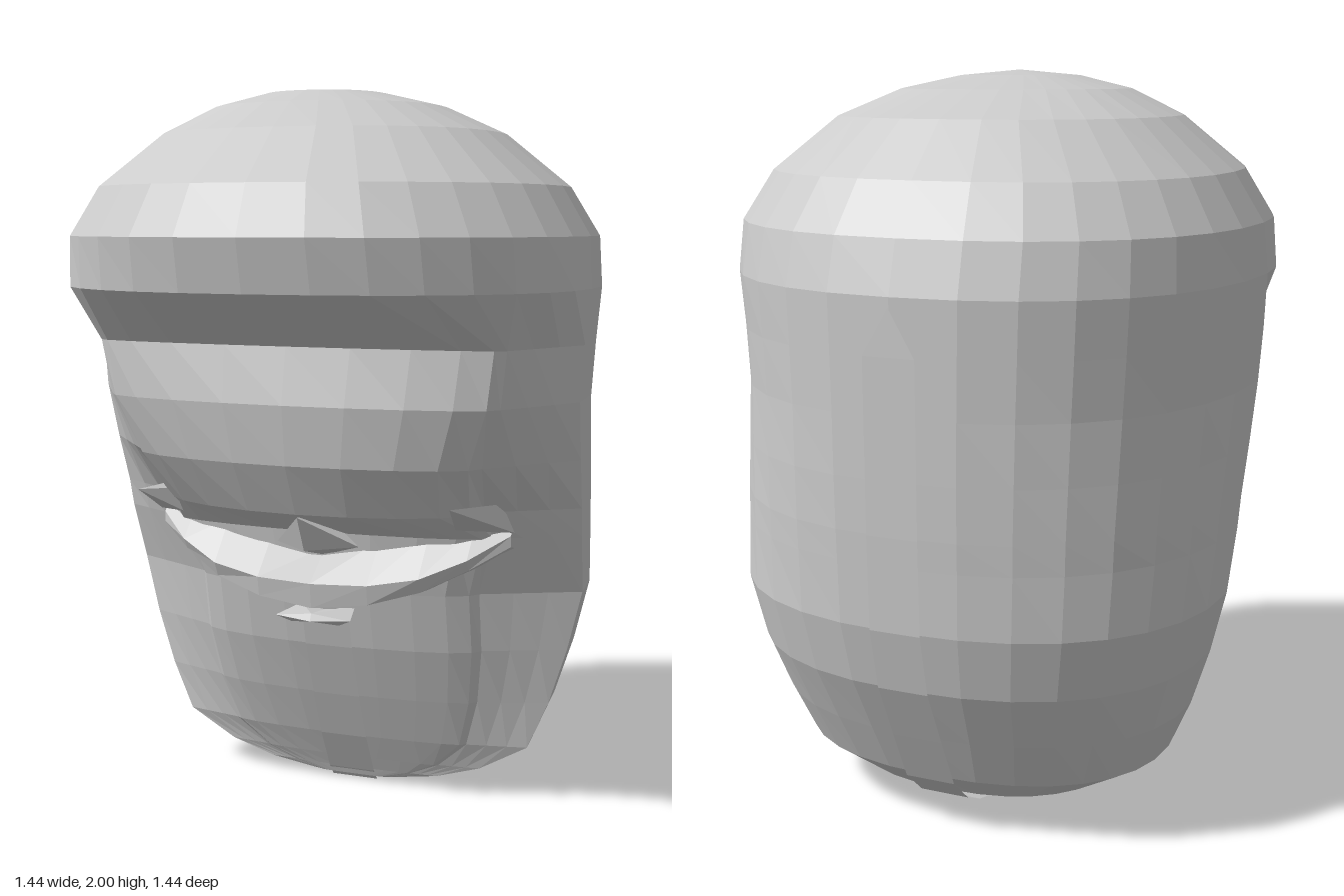
import * as THREE from 'three';
import { ConvexGeometry } from 'three/addons/geometries/ConvexGeometry.js';

const STEPS = 8; // facets per quarter of a ring

function material(doubleSided) {
  return new THREE.MeshStandardMaterial({
    color: 0xcccccc,
    flatShading: true,
    side: doubleSided ? THREE.DoubleSide : THREE.FrontSide,
  });
}

// Joins rows of [x, y, z] points into a faceted surface.
function loft(name, rows, doubleSided = false) {
  const n = rows[0].length;
  const index = [];
  for (let j = 0; j < rows.length - 1; j++) {
    for (let i = 0; i < n - 1; i++) {
      const a = j * n + i, b = a + 1, d = a + n, c = d + 1;
      index.push(a, d, c, a, c, b);
    }
  }
  const indexed = new THREE.BufferGeometry();
  indexed.setAttribute('position', new THREE.Float32BufferAttribute(rows.flat(2), 3));
  indexed.setIndex(index);
  const geometry = indexed.toNonIndexed();
  geometry.computeVertexNormals();
  const mesh = new THREE.Mesh(geometry, material(doubleSided));
  mesh.name = name;
  return mesh;
}

function solid(name, points) {
  const geometry = new ConvexGeometry(points.map((p) => new THREE.Vector3(...p)));
  const mesh = new THREE.Mesh(geometry, material(false));
  mesh.name = name;
  return mesh;
}

// Quarter of a squarish oval: width w, depth d from the line z = z0.
function oval(w, d, z0, i) {
  const a = (i / STEPS) * Math.PI / 2;
  const power = 0.87;
  const x = i === STEPS ? 0 : w * Math.cos(a) ** power;
  return [x, z0 + d * Math.sin(a) ** power];
}

// One closed horizontal ring, from the left side round the front and back.
// With a rim the front runs from side edge to rim, then curves to the centre.
function ring({ y, w, side, back, front, rim }) {
  const quarterFront = [];
  const quarterBack = [];
  for (let i = 0; i <= STEPS; i++) {
    quarterBack.push(oval(w, back - side, side, i));
    if (!rim) {
      quarterFront.push(oval(w, front - side, side, i));
    } else if (i <= 3) {
      const t = i / 3;
      quarterFront.push([w + (rim[0] - w) * t, side + (rim[1] - side) * t]);
    } else {
      const a = ((i - 3) / (STEPS - 3)) * Math.PI / 2;
      quarterFront.push([i === STEPS ? 0 : rim[0] * Math.cos(a), rim[1] + (front - rim[1]) * Math.sin(a)]);
    }
  }
  const mirror = (list) => list.map(([x, z]) => [-x, z]);
  const loop = [
    ...quarterFront,
    ...mirror(quarterFront).reverse().slice(1),
    ...mirror(quarterBack).slice(1),
    ...quarterBack.reverse().slice(1),
  ];
  return loop.map(([x, z]) => [x, y, z]);
}

// Ring sizes, from the bottom up: [y, w, side, back, front, rim x, rim z]
const LEVELS = [
  [0.01, 0.001, -0.17, -0.171, -0.169],
  [0.015, 0.12, -0.09, -0.25, -0.08, 0.09, -0.082],
  [0.04, 0.26, -0.08, -0.34, -0.07, 0.18, -0.075],
  [0.08, 0.39, -0.08, -0.42, -0.05, 0.27, -0.065],
  [0.16, 0.53, -0.08, -0.51, -0.01, 0.36, -0.045],
  [0.3, 0.59, -0.08, -0.58, 0.05, 0.4, -0.015],
  [0.46, 0.64, -0.08, -0.66, 0.11, 0.42, 0.02],
  [0.63, 0.68, -0.08, -0.7, 0.15, 0.42, 0.05],
  [0.8, 0.688, -0.02, -0.705, 0.18, 0.47, 0.1],
  [0.88, 0.69, 0.0, -0.708, 0.36, 0.46, 0.15],
  [1.02, 0.695, 0.05, -0.71, 0.43, 0.49, 0.29],
  [1.18, 0.7, 0.1, -0.71, 0.45, 0.55, 0.34],
  [1.33, 0.71, 0.1, -0.71, 0.42, 0.57, 0.36],
  [1.475, 0.72, 0.08, -0.71, 0.69],
  [1.61, 0.71, 0.06, -0.67, 0.72],
  [1.74, 0.63, 0.05, -0.58, 0.66],
  [1.88, 0.46, 0.06, -0.42, 0.49],
  [1.95, 0.31, 0.08, -0.22, 0.38],
  [1.985, 0.16, 0.1, -0.05, 0.28],
  [2.0, 0.001, 0.1, 0.099, 0.101],
];

function buildHood() {
  return loft('hoodAndFace', LEVELS.map(([y, w, side, back, front, rx, rz]) =>
    ring({ y, w, side, back, front, rim: rx === undefined ? null : [rx, rz] })));
}

// Crescent strap under the face: shelf, front band and underside.
function buildChinStrap() {
  const half = [
    // x, inner y, inner z, front y, front z, lower y, lower z
    [0.52, 0.83, 0.08, 0.81, 0.1, 0.78, 0.1],
    [0.42, 0.83, 0.1, 0.75, 0.18, 0.72, 0.16],
    [0.3, 0.81, 0.13, 0.7, 0.23, 0.66, 0.21],
    [0.16, 0.78, 0.14, 0.675, 0.25, 0.62, 0.24],
    [0, 0.75, 0.14, 0.67, 0.26, 0.6, 0.25],
  ];
  const rows = half.concat(half.slice(0, -1).reverse().map(([x, ...rest]) => [-x, ...rest]))
    .map(([x, iy, iz, fy, fz, ly, lz]) => [[x, iy, iz], [x, fy, fz], [x, ly, lz], [x, ly - 0.02, 0.02]]);
  return loft('chinStrap', rows, true);
}

// Narrow seam strip down the back, under the base and up the chest.
function buildSeamStrip() {
  const path = [
    [1.45, -0.715, 0], [1.33, -0.717, 0.07], [0.88, -0.715, 0.07], [0.63, -0.708, 0.07],
    [0.46, -0.668, 0.07], [0.3, -0.59, 0.07], [0.15, -0.515, 0.07], [0.07, -0.425, 0.07],
    [0.03, -0.345, 0.07], [0.003, -0.25, 0.07], [0, -0.1, 0.07], [0.035, -0.07, 0.07],
    [0.16, -0.002, 0.07], [0.3, 0.058, 0.07], [0.46, 0.118, 0.07], [0.58, 0.15, 0.07],
  ];
  return loft('seamStrip', path.map(([y, z, w]) => [[-w, y, z], [w, y, z]]), true);
}

export function createModel() {
  const model = new THREE.Group();
  model.name = 'hoodedHead';
  model.add(buildHood(), buildChinStrap(), buildSeamStrip());

  // Pointed cheek flaps at the ends of the strap
  for (const s of [1, -1]) {
    model.add(solid(s > 0 ? 'leftCheekFlap' : 'rightCheekFlap', [
      [0.44 * s, 0.93, 0.41], [0.53 * s, 0.82, 0.1], [0.5 * s, 0.9, 0.12],
      [0.4 * s, 0.84, 0.22], [0.44 * s, 0.9, 0.2],
    ]));
  }

  // Small pointed bump between face and strap
  model.add(solid('chinBump', [
    [0, 0.87, 0.35], [-0.12, 0.77, 0.2], [0.12, 0.77, 0.2],
    [0, 0.77, 0.3], [0, 0.73, 0.15], [0, 0.85, 0.15],
  ]));

  // Flat bow below the strap
  for (const s of [1, -1]) {
    model.add(solid(s > 0 ? 'leftBow' : 'rightBow', [
      [0, 0.585, 0.25], [0, 0.565, 0.26], [0.11 * s, 0.57, 0.24],
      [0.07 * s, 0.55, 0.22], [0.08 * s, 0.58, 0.12], [0, 0.57, 0.12],
    ]));
  }
  return model;
}
